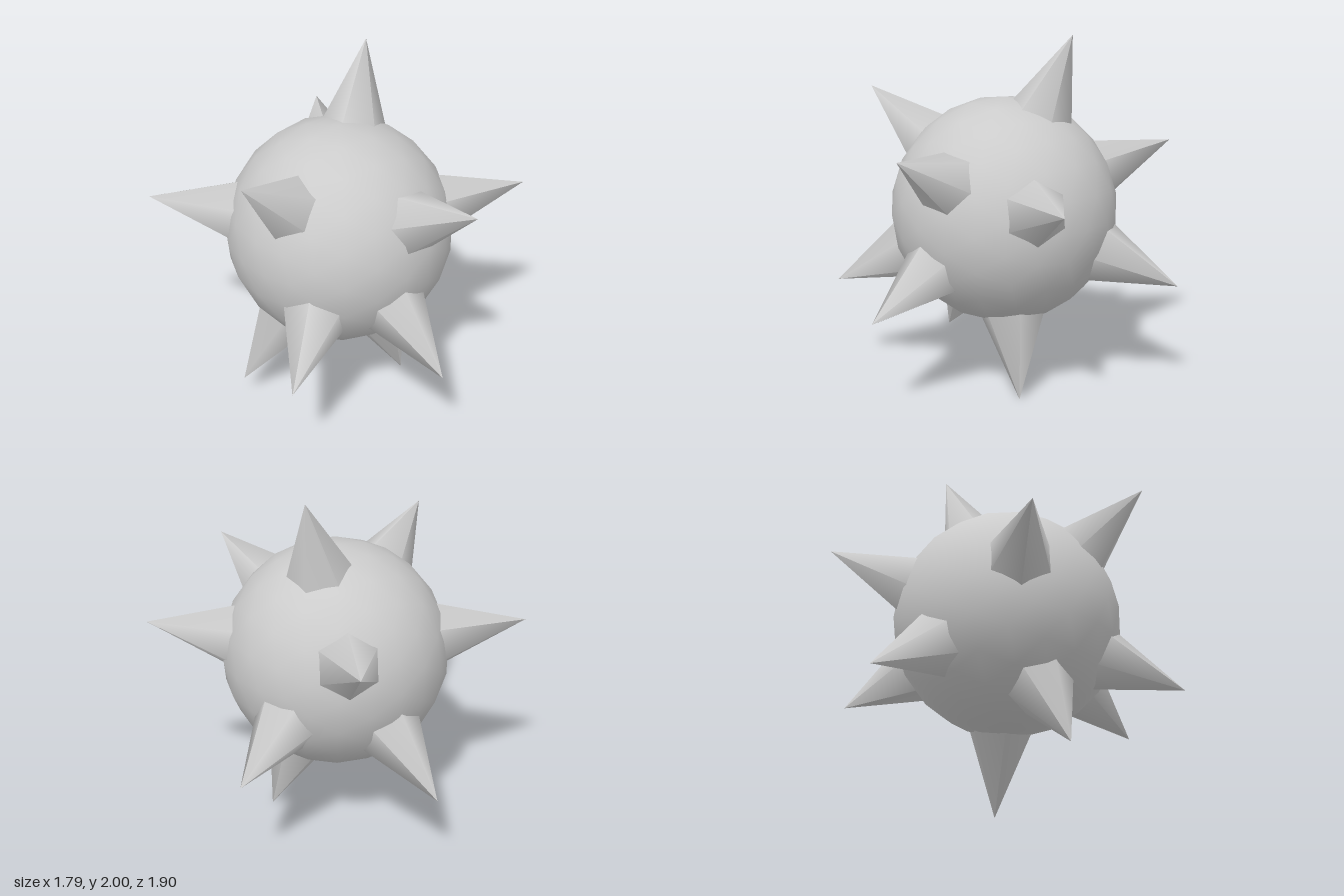
import * as THREE from 'three';

const CENTRE = new THREE.Vector3(-0.03, 1.01, -0.015);
const BALL_RADIUS = 0.637;
const SPIKE_START = 0.5; // base ring, hidden inside the ball
const SLOPE = 0.385; // base radius per unit of spike length

// Spike tips (x, y, z) and roll about the spike axis in degrees
const SPIKES = [
  [0.29, 2.0, -0.22, 0],
  [-0.82, 1.65, 0.29, 0],
  [-0.9, 1.21, -0.61, 0],
  [0.17, 1.46, 0.92, 40],
  [0.89, 1.23, 0.47, 0],
  [0.86, 0.65, -0.48, 33],
  [-0.03, 0.56, 0.95, 0],
  [-0.76, 0.56, 0.62, 0],
  [-0.63, 0.13, -0.12, 0],
  [0.29, 0.0, 0.175, 0],
  [0.42, 1.34, -0.92, 0],
  [-0.06, 0.5, -0.95, 0],
];

export function createModel() {
  const group = new THREE.Group();
  group.name = 'spikedBall';
  const material = new THREE.MeshStandardMaterial({ color: 0xcccccc });

  // Smooth round body
  const ball = new THREE.Mesh(new THREE.IcosahedronGeometry(BALL_RADIUS, 3), material);
  ball.name = 'ball';
  ball.position.copy(CENTRE);
  group.add(ball);

  // Six-sided spikes pointing away from the centre
  SPIKES.forEach(([x, y, z, roll], i) => {
    const axis = new THREE.Vector3(x, y, z).sub(CENTRE);
    const length = axis.length() - SPIKE_START;
    axis.normalize();
    const side = new THREE.Vector3(axis.z, 0, -axis.x).normalize();
    const front = new THREE.Vector3().crossVectors(side, axis);

    const geometry = new THREE.ConeGeometry(
      length * SLOPE, length, 6, 1, false, -THREE.MathUtils.degToRad(roll));
    const spike = new THREE.Mesh(geometry, material);
    spike.name = `spike${i + 1}`;
    spike.quaternion.setFromRotationMatrix(new THREE.Matrix4().makeBasis(side, axis, front));
    spike.position.copy(CENTRE).addScaledVector(axis, SPIKE_START + length / 2);
    group.add(spike);
  });

  return group;
}
